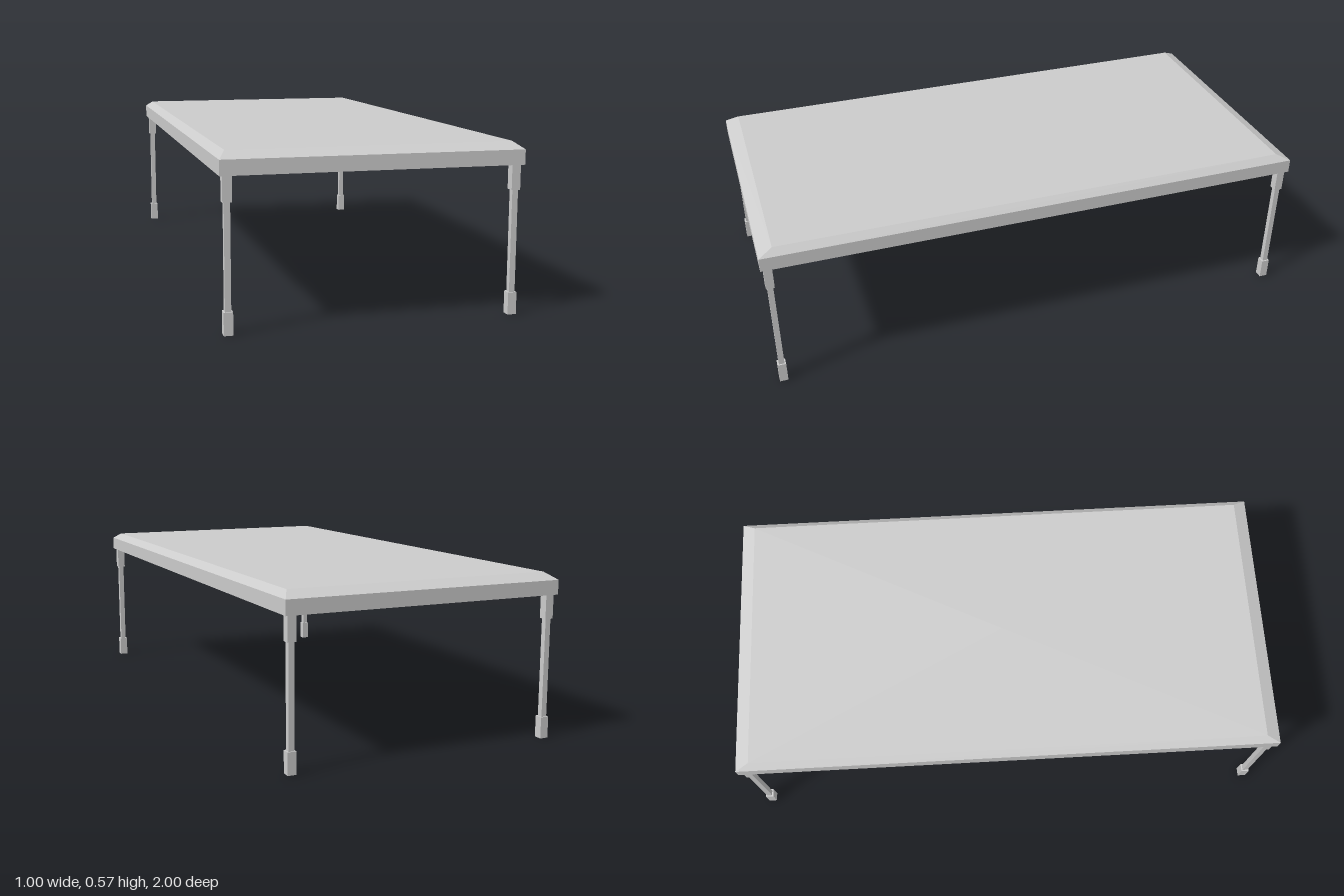
import * as THREE from 'three';

const material = new THREE.MeshStandardMaterial({ color: 0xcccccc, flatShading: true });

// Joins rectangles [halfX, halfZ, y] one after another into a faceted skin
function loftRectangles(levels) {
  const corners = [[1, 1], [1, -1], [-1, -1], [-1, 1]];
  const point = ([hx, hz, y], k) => [corners[k % 4][0] * hx, y, corners[k % 4][1] * hz];
  const positions = [];
  for (let i = 0; i < levels.length - 1; i++) {
    for (let k = 0; k < 4; k++) {
      const a = point(levels[i], k), b = point(levels[i], k + 1);
      const c = point(levels[i + 1], k + 1), d = point(levels[i + 1], k);
      if (levels[i][0] > 0) positions.push(...a, ...b, ...c);
      if (levels[i + 1][0] > 0) positions.push(...a, ...c, ...d);
    }
  }
  const geometry = new THREE.BufferGeometry();
  geometry.setAttribute('position', new THREE.Float32BufferAttribute(positions, 3));
  geometry.computeVertexNormals();
  return geometry;
}

function addBlock(parent, name, width, y0, y1) {
  const mesh = new THREE.Mesh(new THREE.BoxGeometry(width, y1 - y0, width), material);
  mesh.name = name;
  mesh.position.y = (y0 + y1) / 2;
  parent.add(mesh);
}

export function createModel() {
  const table = new THREE.Group();
  table.name = 'table';

  // Top: recessed underside, rim, straight edge, sloping bevel, flat surface
  const top = new THREE.Mesh(loftRectangles([
    [0, 0, 0.525],
    [0.45, 0.95, 0.525],
    [0.45, 0.95, 0.5],
    [0.5, 1, 0.5],
    [0.5, 1, 0.55],
    [0.475, 0.95, 0.573],
    [0, 0, 0.573],
  ]), material);
  top.name = 'tableTop';
  table.add(top);

  // Legs: slim square shaft between a thicker collar and foot
  for (const [zName, z] of [['front', 0.975], ['back', -0.975]]) {
    for (const [xName, x] of [['Left', 0.475], ['Right', -0.475]]) {
      const leg = new THREE.Group();
      leg.name = `${zName}${xName}Leg`;
      leg.position.set(x, 0, z);
      addBlock(leg, 'foot', 0.03, 0, 0.075);
      addBlock(leg, 'shaft', 0.02, 0.075, 0.417);
      addBlock(leg, 'collar', 0.03, 0.417, 0.5);
      table.add(leg);
    }
  }
  return table;
}
